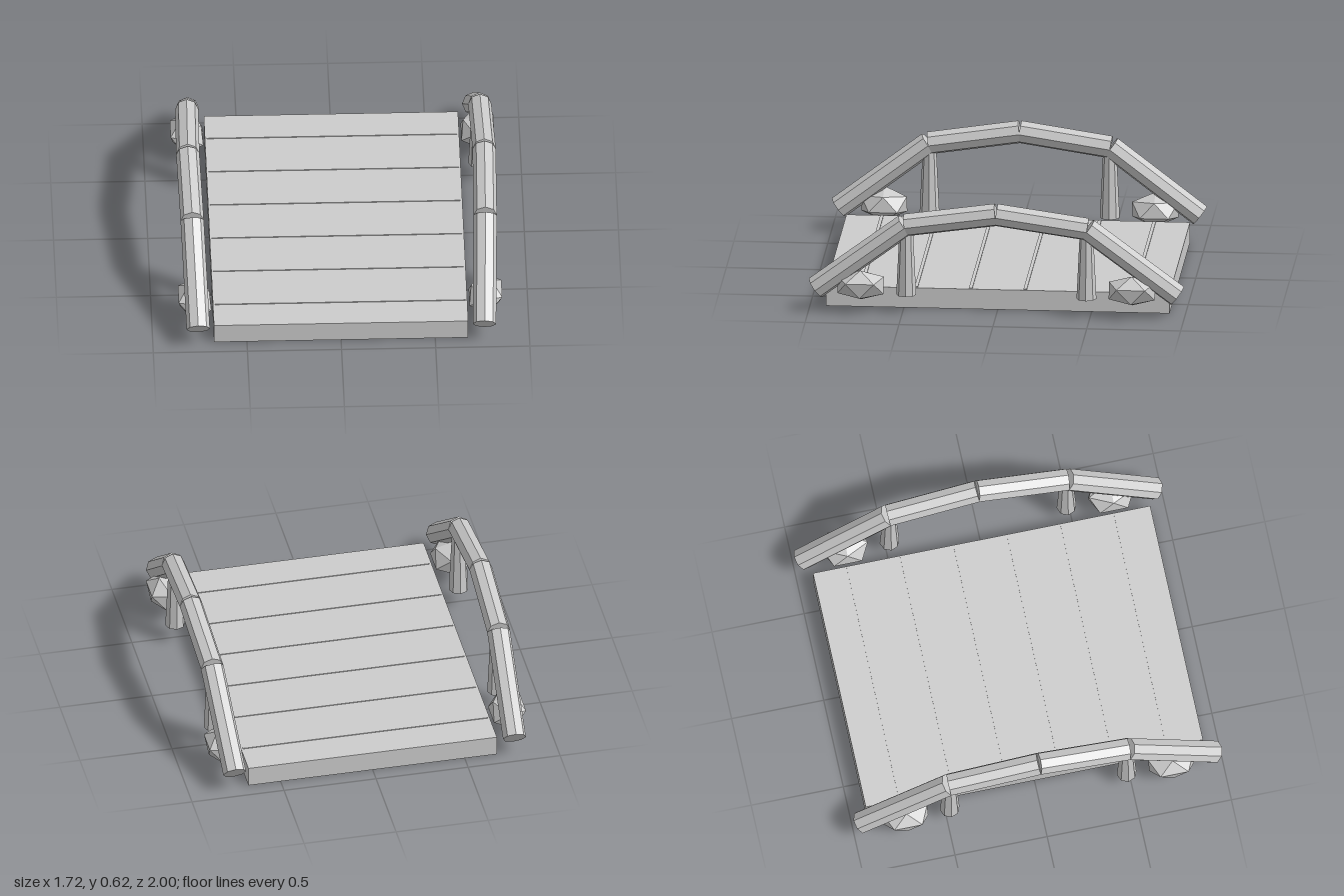
import * as THREE from 'three';

const stoneGray = new THREE.MeshStandardMaterial({ color: 0xcccccc, flatShading: true });
stoneGray.name = 'stoneGray';

function add(parent, name, geometry, x, y, z) {
  const mesh = new THREE.Mesh(geometry, stoneGray);
  mesh.name = name;
  mesh.position.set(x, y, z);
  parent.add(mesh);
  return mesh;
}

// Straight eight-sided log between two points
function log(parent, name, a, b, radius) {
  const dir = b.clone().sub(a);
  const mid = a.clone().add(b).multiplyScalar(0.5);
  const mesh = add(parent, name, new THREE.CylinderGeometry(radius, radius, dir.length(), 8), mid.x, mid.y, mid.z);
  mesh.quaternion.setFromUnitVectors(new THREE.Vector3(0, 1, 0), dir.normalize());
}

// Arched handrail with its posts and rocks; side is +1 (left) or -1 (right)
function railing(side) {
  const group = new THREE.Group();
  group.name = side > 0 ? 'leftRailing' : 'rightRailing';

  for (const end of [1, -1]) {
    const foot = new THREE.Vector3(side * 0.76, 0.125, end * 0.962);
    const bend = new THREE.Vector3(side * 0.778, 0.486, end * 0.485);
    const peak = new THREE.Vector3(side * 0.787, 0.557, 0);
    log(group, 'lowerRail', foot, bend, 0.062);
    log(group, 'upperRail', bend, peak, 0.062);

    // Tapered post under the bend
    add(group, 'post', new THREE.CylinderGeometry(0.036, 0.053, 0.36, 8), side * 0.77, 0.28, end * 0.48);

    // Faceted rock leaning against the deck
    const rock = add(group, 'rock', new THREE.IcosahedronGeometry(1, 0), side * 0.772, 0.148, end * 0.722);
    rock.scale.set(0.107, 0.088, 0.144);
    rock.rotation.z = side * 0.3;
  }
  return group;
}

export function createModel() {
  const model = new THREE.Group();
  model.name = 'footbridge';

  // Deck slab
  add(model, 'deck', new THREE.BoxGeometry(1.35, 0.11, 1.83), 0, 0.055, 0);

  // Thin strips marking the plank joints
  for (let i = 0; i < 6; i++) {
    add(model, 'plankSeam', new THREE.BoxGeometry(1.33, 0.008, 0.018), 0, 0.11, (i - 2.5) * 0.29);
  }

  model.add(railing(1), railing(-1));
  return model;
}
